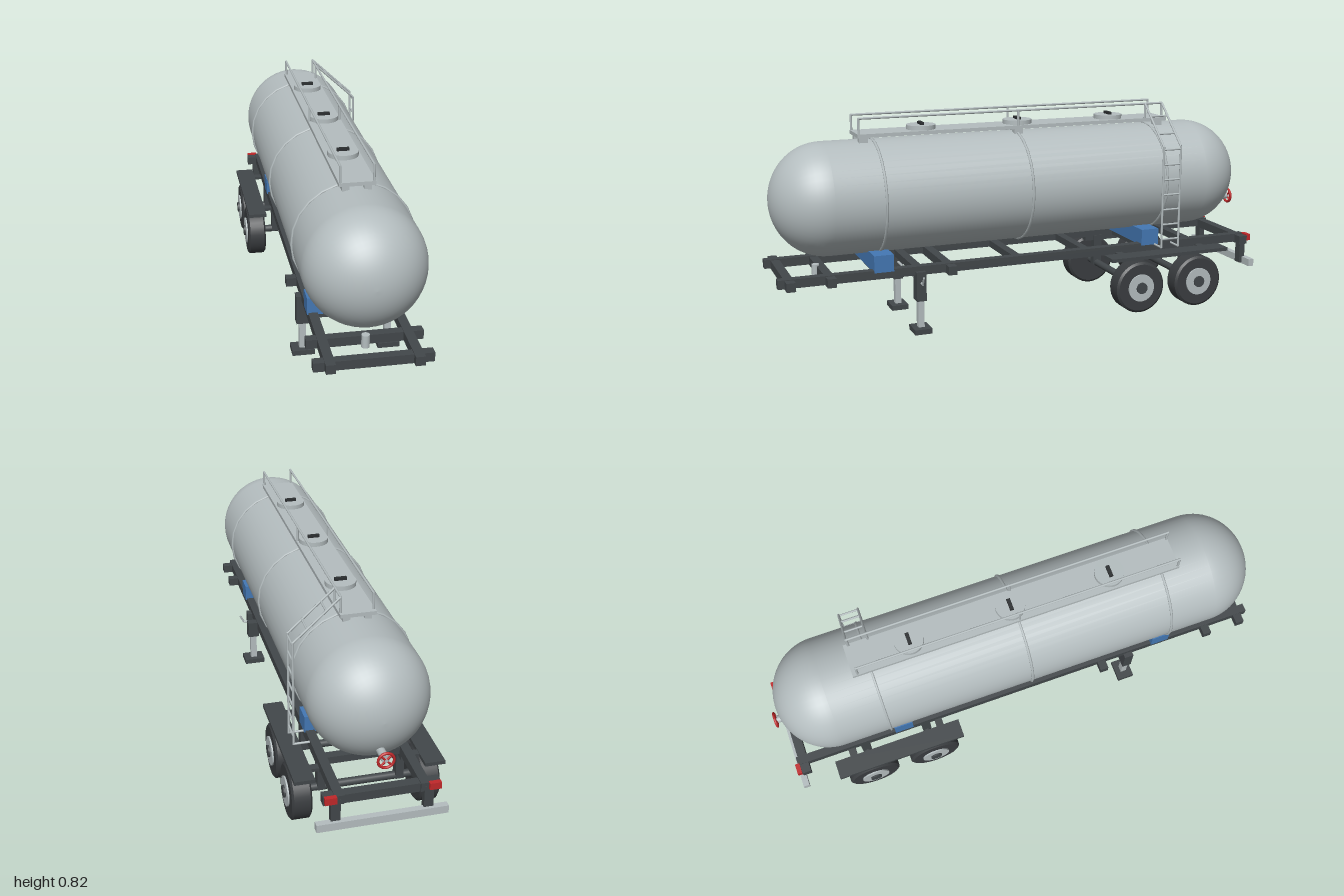
import * as THREE from 'three';

export function createModel() {
  const root = new THREE.Group();
  root.name = 'tankTrailer';
  const paint = (name, color) => {
    const m = new THREE.MeshStandardMaterial({ color });
    m.name = name;
    return m;
  };
  const silver = paint('tankSilver', 0xb4bdbf);
  const frame = paint('frameGrey', 0x42474a);
  const rubber = paint('tyreRubber', 0x3a3d40);
  const blue = paint('saddleBlue', 0x4478b4);
  const red = paint('signalRed', 0xc0282a);
  const dark = paint('handleBlack', 0x2b2e30);

  const add = (name, geo, mat, x = 0, y = 0, z = 0) => {
    const m = new THREE.Mesh(geo, mat);
    m.name = name;
    m.position.set(x, y, z);
    root.add(m);
    return m;
  };
  const box = (name, mat, w, h, d, x, y, z) => add(name, new THREE.BoxGeometry(w, h, d), mat, x, y, z);
  // Round bar between two points
  const bar = (name, mat, a, b, r, sides = 8) => {
    const p = new THREE.Vector3(...a), q = new THREE.Vector3(...b);
    const dir = q.clone().sub(p);
    const m = add(name, new THREE.CylinderGeometry(r, r, dir.length(), sides), mat);
    m.position.copy(p).add(q).multiplyScalar(0.5);
    m.quaternion.setFromUnitVectors(new THREE.Vector3(0, 1, 0), dir.normalize());
    return m;
  };

  // Tank: one lathed profile with domed ends
  const R = 0.218, CY = 0.515, CAP = 0.207;
  const profile = [];
  const steps = 16;
  for (let i = 0; i <= steps; i++) {
    const a = (i / steps) * Math.PI / 2;
    profile.push(new THREE.Vector2(R * Math.sin(a), -0.758 - CAP * Math.cos(a)));
  }
  for (let i = steps; i >= 0; i--) {
    const a = (i / steps) * Math.PI / 2;
    profile.push(new THREE.Vector2(R * Math.sin(a), 0.784 + CAP * Math.cos(a)));
  }
  profile[0].x = profile[profile.length - 1].x = 0;
  add('tank', new THREE.LatheGeometry(profile, 48), silver, 0, CY, 0).rotation.x = Math.PI / 2;
  for (const z of [0.594, 0.013, -0.57])
    add('tankBand', new THREE.TorusGeometry(0.22, 0.0055, 6, 24), silver, 0, CY, z);

  // Walkway, its supports and hatches
  box('walkway', silver, 0.13, 0.014, 1.3, 0, 0.754, 0.01);
  for (const z of [0.635, 0.01, -0.61])
    for (const s of [-1, 1]) box('walkwaySupport', silver, 0.026, 0.04, 0.035, s * 0.039, 0.73, z);
  for (const z of [0.396, -0.003, -0.403]) {
    add('hatch', new THREE.CylinderGeometry(0.057, 0.057, 0.018, 32), silver, 0, 0.769, z);
    box('hatchHandle', dark, 0.046, 0.011, 0.014, 0, 0.7825, z);
  }

  // Handrails
  for (const s of [-1, 1]) {
    const x = s * 0.059;
    bar('handrail', silver, [x, 0.82, 0.657], [x, 0.82, -0.622], 0.0045);
    for (const z of [0.655, 0.015, -0.62])
      bar('handrailPost', silver, [x, 0.755, z], [x, 0.822, z], 0.0045);
  }

  // Ladder: bent stringers with rungs on both runs
  const z0 = -0.545, z1 = -0.622, lx = 0.228;
  for (const z of [z0, z1]) {
    bar('ladderTopPost', silver, [0.059, 0.755, z], [0.059, 0.82, z], 0.0045);
    bar('ladderSlope', silver, [0.059, 0.82, z], [lx, 0.664, z], 0.0045);
    bar('ladderStringer', silver, [lx, 0.666, z], [lx, 0.25, z], 0.0045);
    bar('ladderFoot', silver, [lx, 0.252, z], [0.165, 0.252, z], 0.0045);
  }
  for (let i = 0; i < 7; i++) {
    const y = 0.285 + i * 0.0615;
    bar('ladderRung', silver, [lx, y, z0], [lx, y, z1], 0.004);
  }
  for (const t of [0.3, 0.7]) {
    const x = 0.059 + t * (lx - 0.059), y = 0.82 - t * 0.156;
    bar('ladderRung', silver, [x, y, z0], [x, y, z1], 0.004);
  }

  // Chassis rails and crossmembers
  for (const s of [-1, 1]) box('chassisRail', frame, 0.034, 0.034, 1.97, s * 0.152, 0.243, 0.012);
  for (const z of [0.955, 0.805, 0.34]) box('wideCrossmember', frame, 0.415, 0.034, 0.034, 0, 0.24, z);
  for (const z of [0.6, 0.46, 0.05, -0.25, -0.52, -0.72])
    box('crossmember', frame, 0.3, 0.028, 0.034, 0, 0.24, z);
  box('rearCrossmember', frame, 0.415, 0.034, 0.036, 0, 0.24, -0.948);
  add('kingpin', new THREE.CylinderGeometry(0.015, 0.015, 0.048, 16), silver, 0, 0.239, 0.825);

  // Tank saddles
  for (const z of [0.6, -0.522]) box('saddle', blue, 0.346, 0.066, 0.076, 0, 0.285, z);

  // Landing gear
  for (const s of [-1, 1]) {
    const x = s * 0.164;
    box('landingLegOuter', frame, 0.048, 0.115, 0.038, x, 0.184, 0.46);
    box('landingLegInner', silver, 0.026, 0.12, 0.024, x, 0.075, 0.46);
    box('landingFoot', frame, 0.085, 0.02, 0.068, x, 0.01, 0.46);
  }
  bar('landingShaft', silver, [-0.16, 0.198, 0.46], [0.205, 0.198, 0.46], 0.005);
  bar('landingCrank', silver, [0.203, 0.197, 0.46], [0.22, 0.228, 0.46], 0.004);

  // Axles, wheels, suspension and fenders
  const tyre = [[0.05, -0.037], [0.096, -0.037], [0.105, -0.03], [0.105, 0.03], [0.096, 0.037], [0.05, 0.037]]
    .map(p => new THREE.Vector2(...p));
  // Repeated points keep the tread corners crisp
  const tyreProfile = tyre.flatMap(p => [p, p.clone()]);
  for (const z of [-0.432, -0.695]) {
    bar('axle', frame, [-0.21, 0.107, z], [0.21, 0.107, z], 0.015, 16);
    for (const s of [-1, 1]) {
      const turn = (m) => { m.rotation.z = Math.PI / 2; return m; };
      turn(add('tyre', new THREE.LatheGeometry(tyreProfile, 36), rubber, s * 0.237, 0.106, z));
      turn(add('wheelBack', new THREE.CylinderGeometry(0.056, 0.056, 0.06, 32), rubber, s * 0.231, 0.106, z));
      turn(add('rim', new THREE.CylinderGeometry(0.056, 0.056, 0.022, 32), silver, s * 0.269, 0.106, z));
      turn(add('hub', new THREE.CylinderGeometry(0.023, 0.023, 0.03, 20), frame, s * 0.272, 0.106, z));
      box('suspensionHanger', frame, 0.03, 0.13, 0.036, s * 0.147, 0.165, z);
    }
  }
  for (const s of [-1, 1]) {
    box('fender', frame, 0.075, 0.014, 0.528, s * 0.237, 0.229, -0.566);
    for (const z of [-0.38, -0.75]) box('fenderBracket', frame, 0.06, 0.012, 0.03, s * 0.185, 0.228, z);
    box('suspensionBeam', frame, 0.03, 0.02, 0.38, s * 0.15, 0.219, -0.566);
  }

  // Rear bumper and tail lights
  box('rearBumper', silver, 0.47, 0.03, 0.024, 0, 0.146, -0.974);
  for (const s of [-1, 1]) {
    box('bumperHanger', frame, 0.034, 0.11, 0.024, s * 0.165, 0.19, -0.962);
    box('tailLight', red, 0.042, 0.026, 0.018, s * 0.184, 0.249, -0.975);
  }

  // Discharge pipe with valve wheel
  bar('dischargePipe', silver, [0, 0.39, -0.85], [0, 0.39, -0.985], 0.015, 20);
  bar('valveStem', silver, [0, 0.39, -0.98], [0, 0.39, -0.997], 0.006, 10);
  add('valveWheel', new THREE.TorusGeometry(0.028, 0.005, 8, 24), red, 0, 0.39, -0.992);
  for (const a of [Math.PI / 4, -Math.PI / 4]) {
    const c = 0.028 * Math.cos(a), d = 0.028 * Math.sin(a);
    bar('valveSpoke', red, [-c, 0.39 - d, -0.992], [c, 0.39 + d, -0.992], 0.004);
  }
  return root;
}
